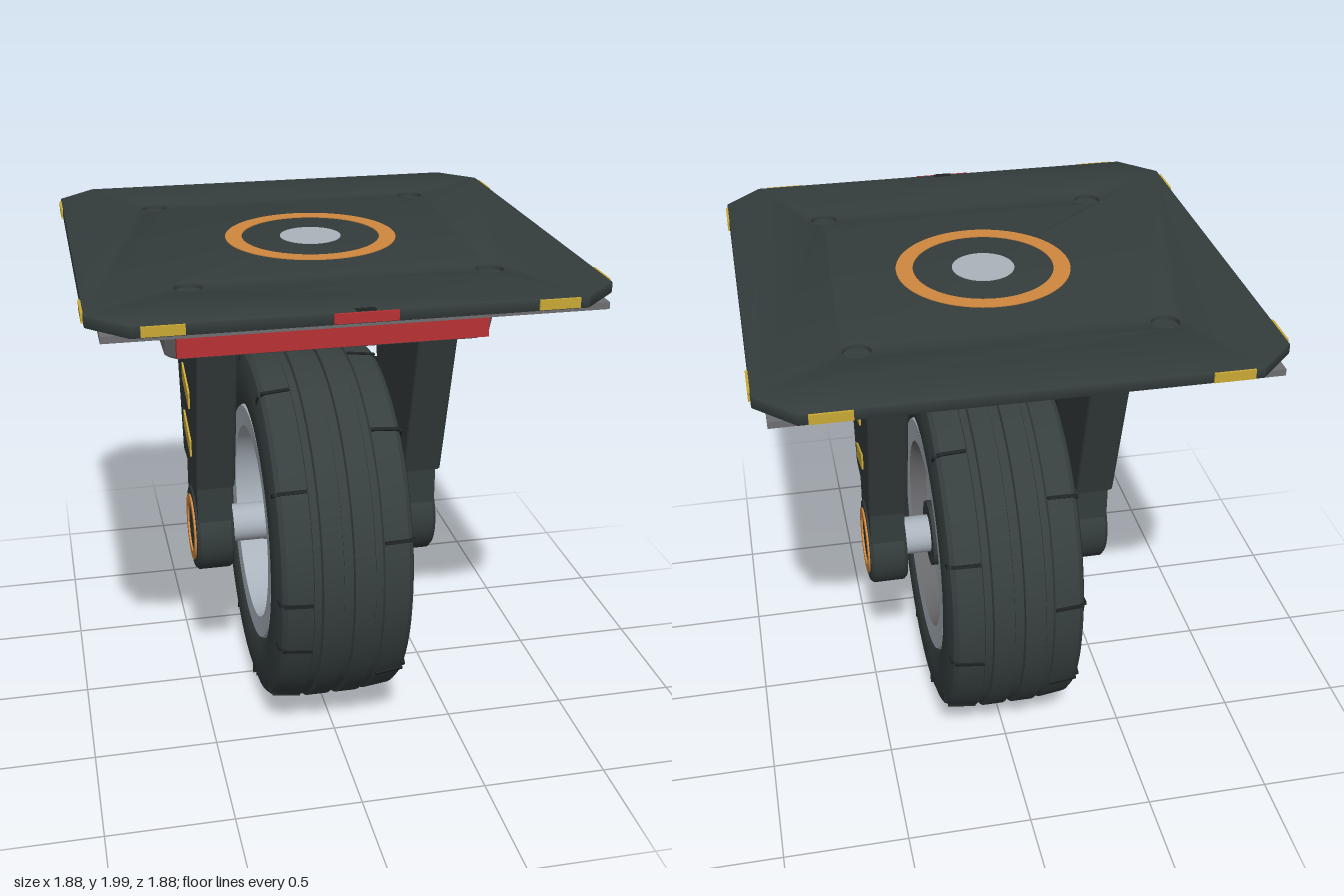
import * as THREE from 'three';
import { toCreasedNormals } from 'three/addons/utils/BufferGeometryUtils.js';
import { ConvexGeometry } from 'three/addons/geometries/ConvexGeometry.js';

const mat = (name, color) => Object.assign(new THREE.MeshStandardMaterial({ color }), { name });

export function createModel() {
  const M = {
    dark: mat('dark paint', 0x343c3c),
    rubber: mat('tyre rubber', 0x363e3e),
    black: mat('groove black', 0x1e2323),
    grey: mat('housing grey', 0x6e6e70),
    silver: mat('bare metal', 0xaab3bc),
    orange: mat('orange', 0xcf883f),
    yellow: mat('hazard yellow', 0xcba935),
    red: mat('red', 0xb83234),
  };
  const root = new THREE.Group();
  root.name = 'caster';
  const add = (name, geo, material, x = 0, y = 0, z = 0, parent = root) => {
    const m = new THREE.Mesh(geo, material);
    m.name = name;
    m.position.set(x, y, z);
    parent.add(m);
    return m;
  };
  const box = (w, h, d) => new THREE.BoxGeometry(w, h, d);
  const poly = pts => new THREE.Shape(pts.map(p => new THREE.Vector2(...p)));
  const circle = (r, x = 0, y = 0) => new THREE.Path().absarc(x, y, r, 0, Math.PI * 2, true);
  // Bevelled extrusion that stays inside the drawn outline and depth
  const slab = (shape, depth, b = 0) => new THREE.ExtrudeGeometry(shape, {
    depth: depth - 2 * b, bevelEnabled: b > 0, bevelSize: b, bevelOffset: -b,
    bevelThickness: b, bevelSegments: 2, curveSegments: 32,
  }).translate(0, 0, b);
  const alongX = geo => geo.rotateY(Math.PI / 2);    // drawn as (-z, y), depth to +x
  const alongY = geo => geo.rotateX(-Math.PI / 2);   // drawn as (x, -z), depth to +y
  const ring = (ro, ri, depth) => {
    const s = new THREE.Shape().absarc(0, 0, ro, 0, Math.PI * 2);
    s.holes.push(circle(ri));
    return toCreasedNormals(slab(s, depth), 0.5);
  };
  // Closed or open profile of [radius, x] turned about the x axis
  const turned = (pts, seg = 72) => toCreasedNormals(
    new THREE.LatheGeometry(pts.map(p => new THREE.Vector2(...p)), seg).rotateZ(-Math.PI / 2), 0.5);
  const rod = (r, len, seg = 40) => new THREE.CylinderGeometry(r, r, len, seg).rotateZ(Math.PI / 2);

  // Mounting plate with clipped corners and four bolt holes
  const e = 0.935, c = 0.795;
  const plate = poly([[-c, -e], [c, -e], [e, -c], [e, c], [c, e], [-c, e], [-e, c], [-e, -c]]);
  for (const x of [-0.555, 0.555]) for (const z of [-0.555, 0.555]) plate.holes.push(circle(0.05, x, z));
  add('mountingPlate', toCreasedNormals(alongY(slab(plate, 0.047, 0.008)), 0.5), M.dark, 0, 1.95, 0);
  add('underPlate', box(1.68, 0.05, 1.68), M.dark, 0, 1.954, 0);
  const frame = poly([[-0.89, -0.89], [0.89, -0.89], [0.89, 0.89], [-0.89, 0.89]]);
  frame.holes.push(poly([[-0.835, -0.835], [-0.835, 0.835], [0.835, 0.835], [0.835, -0.835]]));
  add('underFrame', alongY(slab(frame, 0.025)), M.grey, 0, 1.926, 0);
  for (const x of [-0.78, 0.78]) for (const z of [-0.78, 0.78])
    add('plateBolt', new THREE.CylinderGeometry(0.026, 0.026, 0.03, 6), M.silver, x, 1.917, z);
  add('swivelRing', alongY(ring(0.335, 0.27, 0.008)), M.orange, 0, 1.992, 0);
  add('swivelPin', new THREE.CylinderGeometry(0.12, 0.12, 0.008, 48), M.silver, 0, 1.995, 0);

  // Edge markers on all four sides, plus the front marker
  for (let i = 0; i < 4; i++) {
    const side = new THREE.Group();
    side.name = 'edgeMarkers';
    side.rotation.y = i * Math.PI / 2;
    for (const x of [-0.685, 0.685]) add('edgeMarker', box(0.148, 0.036, 0.009), M.yellow, x, 1.975, 0.938, side);
    root.add(side);
  }
  add('frontMarker', box(0.225, 0.036, 0.009), M.red, 0, 1.975, 0.938);
  add('frontNotch', box(0.07, 0.004, 0.025), M.black, 0, 1.997, 0.922);

  // Swivel housing: convex hull of clipped rectangles [y, half x, half z]
  const hull = [];
  for (const [y, hx, hz] of [[1.66, 0.61, 0.375], [1.68, 0.63, 0.4], [1.79, 0.63, 0.45], [1.83, 0.625, 0.445], [1.94, 0.575, 0.39]])
    for (const sx of [-1, 1]) for (const sz of [-1, 1]) {
      hull.push(new THREE.Vector3(sx * hx, y, sz * (hz - 0.03)));
      hull.push(new THREE.Vector3(sx * (hx - 0.03), y, sz * hz));
    }
  add('swivelHousing', new ConvexGeometry(hull), M.grey);
  for (const s of [-1, 1]) add('housingPanel', box(1.19, 0.14, 0.035), M.red, 0, 1.77, s * 0.458);

  // Fork legs
  const axleY = 0.763;
  const legShape = poly([[-0.205, 1.03], [0.205, 1.03], [0.375, 1.7], [-0.375, 1.7]]);
  const stripe = poly([[-0.095, 0], [0.095, 0.06], [0.095, 0.13], [-0.095, 0.07]]);
  const boss = turned([[0, -0.0775], [0.17, -0.0775], [0.183, -0.064], [0.183, 0.064], [0.17, 0.0775], [0, 0.0775]], 48);
  for (const s of [-1, 1]) {
    const fork = new THREE.Group();
    fork.name = s > 0 ? 'leftFork' : 'rightFork';
    root.add(fork);
    add('forkLeg', alongX(slab(legShape, 0.158, 0.014)), M.dark, s * 0.432 - 0.079, 0, 0, fork);
    add('lowerLeg', box(0.142, 0.29, 0.315), M.dark, s * 0.432, 0.91, 0, fork);
    add('axleBoss', boss, M.dark, s * 0.432, axleY, 0, fork);
    add('axleRing', alongX(ring(0.14, 0.105, 0.009)), M.orange, s * 0.5125 - 0.0045, axleY, 0, fork);
    for (const y of [1.13, 1.34])
      add('hazardStripe', alongX(slab(stripe, 0.009)), M.yellow, s * 0.514 - 0.0045, y, 0, fork);
  }

  // Wheel
  const wheel = new THREE.Group();
  wheel.name = 'wheel';
  wheel.position.y = axleY;
  root.add(wheel);
  add('axle', rod(0.08, 0.75), M.silver, 0, 0, 0, wheel);

  // Tyre: half profile mirrored across the centre, with three grooves
  const half = [[0.742, 0.018], [0.757, 0.022], [0.757, 0.102], [0.742, 0.107], [0.742, 0.135], [0.752, 0.14],
    [0.74, 0.24], [0.725, 0.258], [0.68, 0.272], [0.6, 0.276], [0.53, 0.268], [0.5, 0.25]];
  const outer = [...half.map(([r, x]) => [r, -x]).reverse(), ...half];
  add('tyre', turned([...outer, [0.49, 0.2], [0.49, -0.2], outer[0]], 96), M.rubber, 0, 0, 0, wheel);
  for (let i = 0; i < 21; i++) {
    const pivot = new THREE.Group(), s = i % 2 ? 1 : -1;
    pivot.name = 'treadSlot';
    pivot.rotation.x = -i * Math.PI * 2 / 21;
    wheel.add(pivot);
    const slot = add('slotTread', box(0.115, 0.014, 0.02), M.black, s * 0.198, 0, 0.741, pivot);
    slot.rotation.y = s * 0.12;
    add('slotShoulder', box(0.012, 0.014, 0.045), M.black, s * 0.264, 0, 0.705, pivot);
  }

  // Rim: flat lip, sloped recess and disc; the right side is dished deeper
  add('rimLip', turned([[0.4, 0.2], [0.49, 0.2], [0.502, 0.25], [0.495, 0.262], [0.4, 0.258]]), M.silver, 0, 0, 0, wheel);
  add('rimSlope', turned([[0.4, 0.258], [0.352, 0.19]]), M.grey, 0, 0, 0, wheel);
  add('rimDisc', turned([[0.352, 0.19], [0.01, 0.19]]), M.silver, 0, 0, 0, wheel);
  add('rimDish', turned([[0.01, -0.06], [0.38, -0.06], [0.41, -0.258], [0.495, -0.262], [0.502, -0.25], [0.49, -0.2]]), M.silver, 0, 0, 0, wheel);
  add('leftHub', rod(0.14, 0.06), M.dark, 0.21, 0, 0, wheel);
  add('rightHub', rod(0.16, 0.12), M.dark, -0.11, 0, 0, wheel);
  for (let i = 0; i < 6; i++) {
    const a = i * Math.PI / 3, y = Math.sin(a), z = Math.cos(a);
    add('hubNut', rod(0.02, 0.03, 6), M.silver, -0.18, 0.12 * y, 0.12 * z, wheel);
    add('rimHole', rod(0.04, 0.008, 24), M.grey, -0.06, 0.27 * y, 0.27 * z, wheel);
  }
  return root;
}
